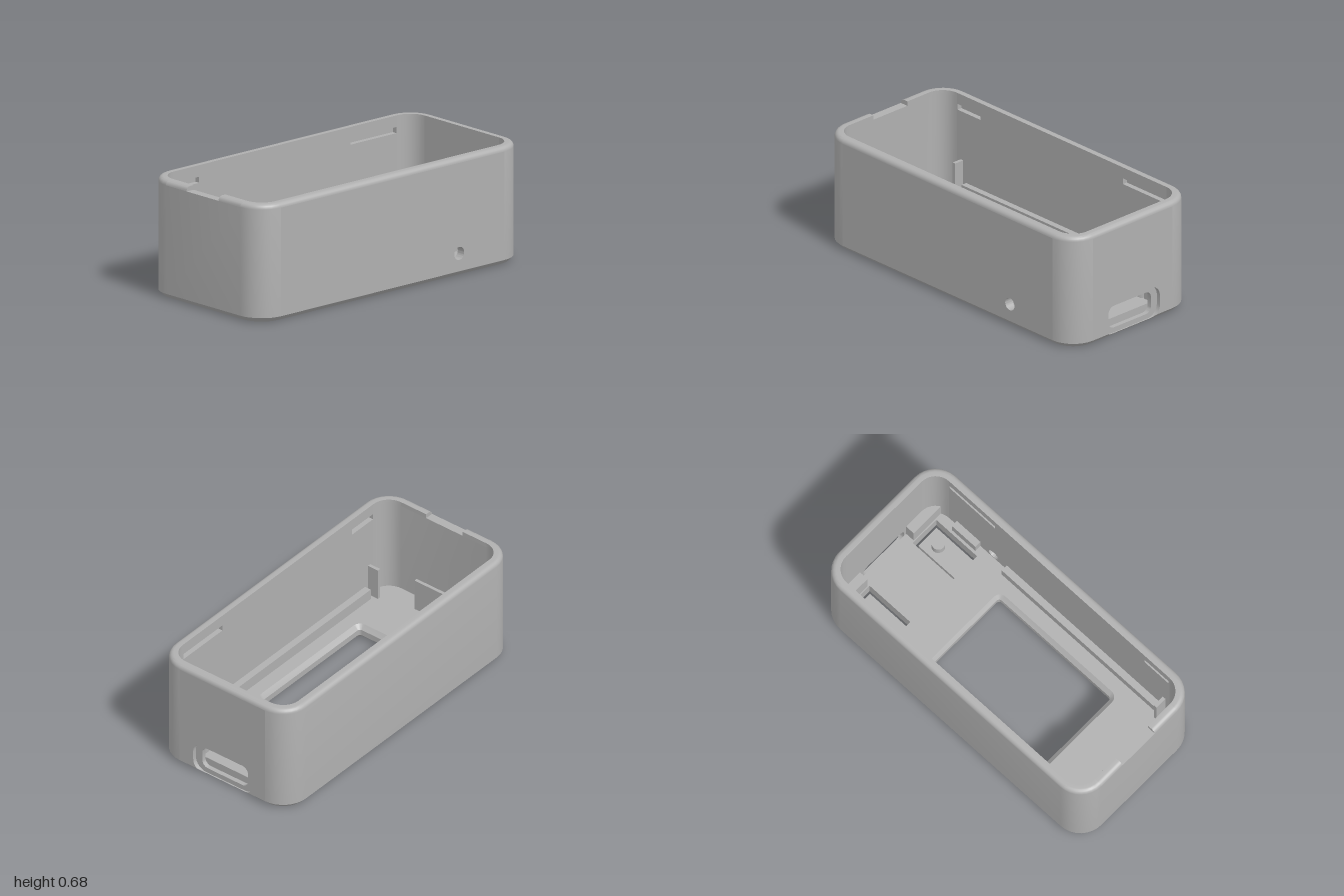
import * as THREE from 'three';
import { toCreasedNormals } from 'three/addons/utils/BufferGeometryUtils.js';

const N = 9; // points per rounded corner
const W = 1, D = 0.463, R = 0.16, CH = 0.027, WALL = 0.052;
const RIM = 0.65, TOP = 0.677, FLOOR = 0.085;
const FX = W - R, FZ = D - R; // half lengths of the flat sides

const V = (x, y) => new THREE.Vector2(x, y);

// Rounded rectangle; corners run (+,+), (-,+), (-,-), (+,-)
function roundRect(u0, u1, v0, v1, r) {
  const centres = [[u1 - r, v1 - r], [u0 + r, v1 - r], [u0 + r, v0 + r], [u1 - r, v0 + r]];
  const pts = [];
  centres.forEach(([u, v], k) => {
    for (let i = 0; i < N; i++) {
      const a = (k + i / (N - 1)) * Math.PI / 2;
      pts.push(V(u + r * Math.cos(a), v + r * Math.sin(a)));
    }
  });
  return pts;
}
const rect = (u0, u1, v0, v1) => [V(u0, v0), V(u1, v0), V(u1, v1), V(u0, v1)];

// Closed loops joined row by row; skip(row, segment) leaves gaps
function loft(rows, skip = () => false) {
  const pos = [], n = rows[0].length;
  for (let i = 0; i < rows.length - 1; i++) {
    for (let j = 0; j < n; j++) {
      if (skip(i, j)) continue;
      const k = (j + 1) % n;
      const a = rows[i][j], b = rows[i][k], c = rows[i + 1][j], d = rows[i + 1][k];
      pos.push(...a, ...c, ...b, ...b, ...c, ...d);
    }
  }
  const g = new THREE.BufferGeometry();
  g.setAttribute('position', new THREE.Float32BufferAttribute(pos, 3));
  return toCreasedNormals(g, 0.5);
}

// Flat outline with holes, placed in space by a rule
function flat(outline, holes, place) {
  const s = new THREE.Shape(outline);
  holes.forEach(h => s.holes.push(new THREE.Path(h)));
  const g = new THREE.ShapeGeometry(s).toNonIndexed();
  const p = g.attributes.position;
  for (let i = 0; i < p.count; i++) p.setXYZ(i, ...place(p.getX(i), p.getY(i)));
  g.computeVertexNormals();
  return g;
}

// Split an outline at a height into an upper arch and a lower dip
function split(pts, base, e) {
  const turned = [...pts.slice(3 * N), ...pts.slice(0, 3 * N)];
  const arch = [V(e, base), ...turned.filter(p => p.y > base), V(-e, base)].reverse();
  const dip = [V(-e, base), ...pts.filter(p => p.y <= base), V(e, base)];
  return { arch, dip };
}

export function createModel() {
  const group = new THREE.Group();
  const grey = new THREE.MeshStandardMaterial({ color: 0xb0b0b0, side: THREE.DoubleSide });
  grey.name = 'grey plastic';
  const add = (name, geo) => {
    const m = new THREE.Mesh(geo, grey);
    m.name = name;
    group.add(m);
    return m;
  };
  const box = (name, x0, x1, y0, y1, z0, z1) =>
    add(name, new THREE.BoxGeometry(x1 - x0, y1 - y0, z1 - z0))
      .position.set((x0 + x1) / 2, (y0 + y1) / 2, (z0 + z1) / 2);

  // Shell: chamfer, outside, rounded rim, inside. Sides: 0 +z, 1 -x, 2 -z, 3 +x
  const levels = [[0, CH], [CH, 0], [RIM, 0]];
  const rimProfile = [];
  for (let i = 0; i <= 5; i++) {
    const a = i / 5 * Math.PI / 2;
    rimProfile.push([RIM + CH * Math.sin(a), CH * (1 - Math.cos(a))]);
  }
  levels.push(...rimProfile.slice(1), [TOP, WALL], [RIM, WALL], [FLOOR, WALL]);
  const skips = { 0: [3], 1: [0, 3], 9: [0, 2, 3] };
  for (let i = 2; i <= 7; i++) skips[i] = [1];
  skips[8] = [0, 1, 2, 3];
  skips[levels.length - 2] = [0, 2, 3];
  const outline = inset => roundRect(-W + inset, W - inset, -D + inset, D - inset, R - inset);
  add('shell', loft(levels.map(([y, inset]) => outline(inset).map(p => [p.x, y, p.y])),
    (i, j) => j % N === N - 1 && skips[i] && skips[i].includes(Math.floor(j / N))));

  // Rim of the left-hand end with a shallow notch
  const rimShape = new THREE.Shape([...rimProfile.map(([y, x]) => V(-W + x, y)), V(-W + WALL, TOP), V(-W + WALL, RIM)]);
  [[-FZ, -0.135], [0.125, FZ]].forEach(([z0, z1]) => {
    const g = new THREE.ExtrudeGeometry(rimShape, { depth: z1 - z0, bevelEnabled: false });
    add('notchedRim', toCreasedNormals(g, 0.5)).position.z = z0;
  });
  add('notchFloor', flat(rect(-W, -W + WALL, -0.135, 0.125), [], (x, z) => [x, RIM, z]));

  // Long walls: inner faces with latch slots, front face with a round hole
  const circle = (x, y, r) => new THREE.Path().absarc(x, y, r, 0, Math.PI * 2).getPoints(24).slice(0, -1);
  const pinhole = circle(0.5, 0.13, 0.037);
  const slots = [rect(-0.9, -0.67, 0.575, 0.61), rect(0.49, 0.86 - 0.02, 0.575, 0.61)];
  slots[0] = rect(-0.835, -0.65, 0.575, 0.61);
  slots[1] = rect(0.49, 0.835, 0.575, 0.61);
  const zi = D - WALL;
  add('frontWall', flat(rect(-FX, FX, CH, RIM), [pinhole], (x, y) => [x, y, D]));
  add('pinholeSides', loft([D, zi].map(z => pinhole.map(p => [p.x, p.y, z]))));
  [1, -1].forEach(s => {
    const holes = s > 0 ? [...slots, pinhole] : slots;
    add('innerLongWall', flat(rect(-FX, FX, FLOOR, TOP), holes, (x, y) => [x, y, s * zi]));
    slots.forEach(o => {
      add('latchSlotSides', loft([zi, zi + 0.03].map(z => o.map(p => [p.x, p.y, s * z]))));
      add('latchSlotBack', flat(o, [], (x, y) => [x, y, s * (zi + 0.03)]));
    });
  });

  // Port end: recessed surround with an opening through the wall
  const recess = roundRect(-0.207, 0.207, 0.01, 0.205, 0.07);
  const port = roundRect(-0.162, 0.162, 0.04, 0.172, 0.04);
  const xr = 0.975, xi = W - WALL;
  const cut = split(recess, CH, 0.137 + Math.sqrt(0.07 ** 2 - (0.08 - CH) ** 2));
  const inner = split(port, FLOOR, 0.162);
  const endPanel = (base, top, arch) => [V(-FZ, base), ...arch, V(FZ, base), V(FZ, top), V(-FZ, top)];
  add('portWall', flat(endPanel(CH, RIM, cut.arch), [], (z, y) => [W, y, z]));
  add('portWallChamfer', flat(endPanel(CH, 0, cut.dip), [], (z, y) => [W - CH + y, y, z]));
  add('portRecessSides', loft([recess.map(p => [Math.min(W, W - CH + p.y), p.y, p.x]), recess.map(p => [xr, p.y, p.x])]));
  add('portRecessFace', flat(recess, [port], (z, y) => [xr, y, z]));
  add('portOpening', loft([xr, xi].map(x => port.map(p => [x, p.y, p.x]))));
  add('portSill', flat(inner.dip, [], (z, y) => [xi, y, z]));
  add('portInnerWall', flat(endPanel(FLOOR, TOP, inner.arch), [], (z, y) => [xi, y, z]));

  // Floor with a bevelled window and two button cut-outs
  const windowWide = roundRect(-0.56, 0.34, -0.295, 0.29, 0.045);
  const windowNarrow = roundRect(-0.535, 0.32, -0.27, 0.265, 0.02);
  const cutouts = [-0.275, 0.26].map(z => rect(0.573, 0.883, z - 0.094, z + 0.094));
  const place = y => (x, z) => [x, y, z];
  add('floorUnderside', flat(outline(CH), [windowWide, ...cutouts], place(0)));
  add('floorTop', flat(outline(WALL), [windowWide, ...cutouts], place(FLOOR)));
  add('windowBevel', loft([[windowWide, 0], [windowNarrow, 0.025], [windowNarrow, 0.06], [windowWide, FLOOR]]
    .map(([o, y]) => o.map(p => [p.x, y, p.y]))));

  // Springy button arms inside the cut-outs
  cutouts.forEach((o, i) => {
    const z = [-0.275, 0.26][i];
    add('buttonCutoutSides', loft([0, FLOOR].map(y => o.map(p => [p.x, y, p.y]))));
    const arm = new THREE.Shape(rect(0.573, 0.861, -0.073, 0.073));
    arm.holes.push(new THREE.Path(circle(0.778, 0, 0.038)));
    const g = new THREE.ExtrudeGeometry(arm, { depth: 0.04, bevelEnabled: false });
    g.rotateX(-Math.PI / 2);
    add('buttonArm', g).position.z = z;
    add('buttonPin', new THREE.CylinderGeometry(0.038, 0.038, 0.08, 24)).position.set(0.778, 0.052, z);
  });

  // Board supports standing on the floor
  box('backRail', -0.765, 0.39, FLOOR, 0.15, -zi, -0.375);
  box('frontRail', -0.765, 0.4, FLOOR, 0.15, 0.37, zi);
  box('backRib', -0.81, -0.79, FLOOR, 0.28, -zi, -0.35);
  box('frontRib', -0.81, -0.79, FLOOR, 0.28, 0.34, zi);
  box('backPad', 0.665, 0.865, FLOOR, 0.15, -zi, -0.385);
  box('frontPad', 0.6, 0.78, FLOOR, 0.15, 0.37, zi);
  box('backPortBlock', 0.89, xi, FLOOR, 0.2, -0.4, -0.19);
  box('frontPortBlock', 0.89, xi, FLOOR, 0.2, 0.18, 0.4);
  box('endStop', -0.865, -0.845, FLOOR, 0.28, -0.13, 0.125);
  return group;
}
